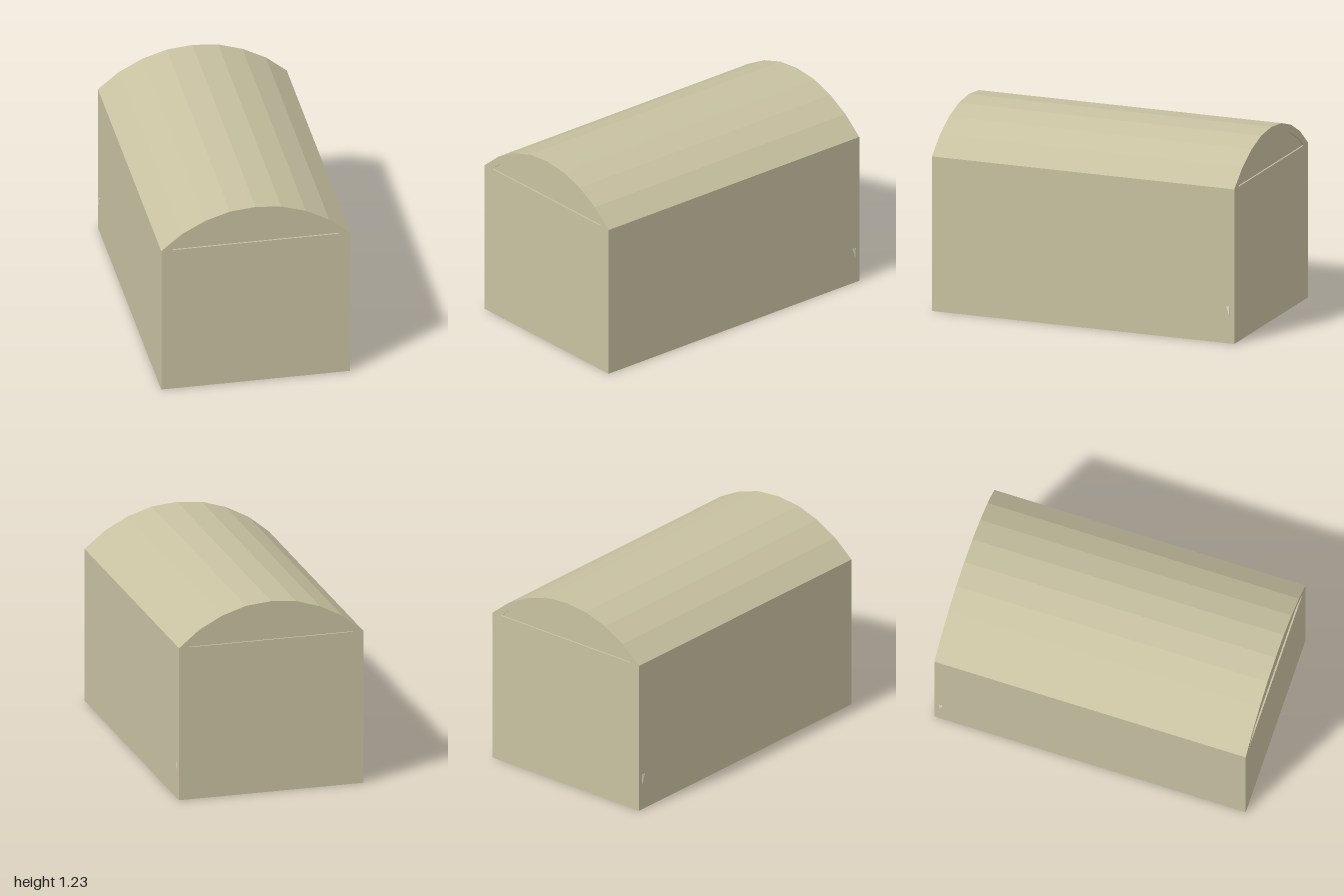
import * as THREE from 'three';

const CX = -0.0475, HALF = 0.5875, EAVE = 0.978, LENGTH = 2;

// Right half of each arch as [distance from the ridge, height]
const OUTER = [[HALF, EAVE], [0.457, 1.085], [0.312, 1.162], [0.16, 1.21]];
const INNER = [[0.522, EAVE], [0.442, 1.04], [0.302, 1.115], [0.155, 1.16]];

// Full arch from right eave to left eave
function arch(half, ridge) {
  const left = half.map(([x, y]) => [-x, y]).reverse();
  return [...half, [0, ridge], ...left].map(([x, y]) => new THREE.Vector2(x, y));
}

// Prism centred along z
function prism(points, depth) {
  const geometry = new THREE.ExtrudeGeometry(new THREE.Shape(points), { depth, bevelEnabled: false });
  return geometry.translate(0, 0, -depth / 2);
}

export function createModel() {
  const stone = new THREE.MeshStandardMaterial({ color: 0xc8c1a1 });
  stone.name = 'sandstone';
  const pale = new THREE.MeshStandardMaterial({ color: 0xe6e3d8 });
  pale.name = 'pale chip';

  const model = new THREE.Group();
  model.name = 'vaultedBlock';
  const add = (name, geometry, material = stone) => {
    const mesh = new THREE.Mesh(geometry, material);
    mesh.name = name;
    model.add(mesh);
    return mesh;
  };

  // Rectangular lower block
  add('walls', new THREE.BoxGeometry(HALF * 2, EAVE, LENGTH)).position.set(CX, EAVE / 2, 0);

  // Faceted barrel roof shell
  const outer = arch(OUTER, 1.225), inner = arch(INNER, 1.177);
  add('roof', prism([...outer, ...inner.slice().reverse()], LENGTH)).position.x = CX;

  // Gable infill, set slightly back at both ends
  add('gables', prism(inner, LENGTH - 0.02)).position.x = CX;

  // Tiny wedge-shaped chips low on both sides near the back
  for (const side of [-1, 1]) {
    const shape = new THREE.Shape([
      new THREE.Vector2(0.947, 0.232), new THREE.Vector2(0.967, 0.172), new THREE.Vector2(0.967, 0.232),
    ]);
    const chip = new THREE.ExtrudeGeometry(shape, { depth: 0.004, bevelEnabled: false });
    chip.translate(0, 0, -0.002).rotateY(Math.PI / 2);
    add(side < 0 ? 'rightChip' : 'leftChip', chip, pale).position.x = CX + side * HALF;
  }
  return model;
}
